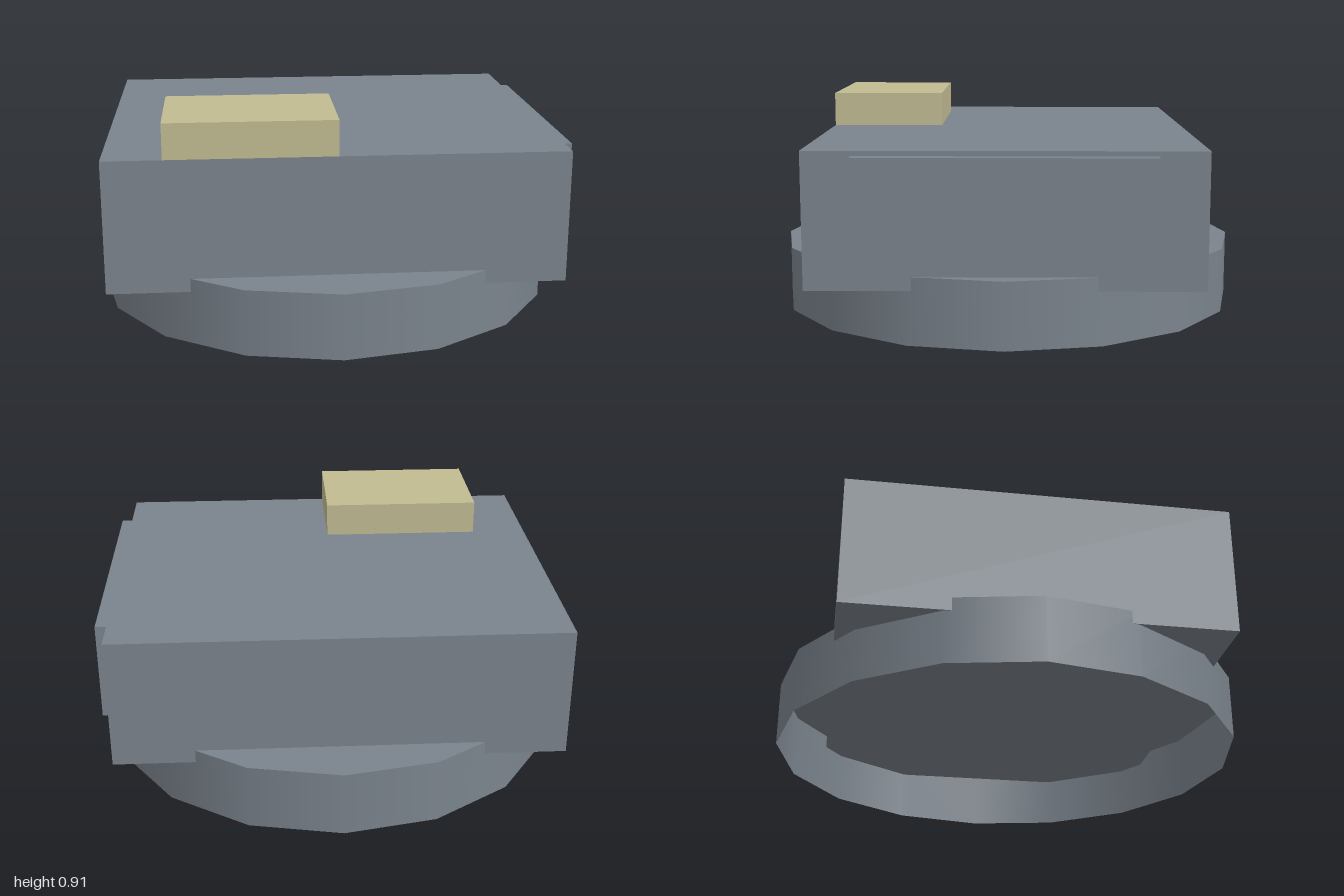
import * as THREE from 'three';

export function createModel() {
  const model = new THREE.Group();
  model.name = 'turret';

  const grey = new THREE.MeshStandardMaterial({ color: 0x7b848d, side: THREE.DoubleSide });
  grey.name = 'steel grey';
  const tan = new THREE.MeshStandardMaterial({ color: 0xc2bc92 });
  tan.name = 'pale tan';

  // Box given by its lower and upper corners
  function block(name, min, max, material) {
    const size = max.map((v, i) => v - min[i]);
    const mesh = new THREE.Mesh(new THREE.BoxGeometry(...size), material);
    mesh.position.set(...max.map((v, i) => (v + min[i]) / 2));
    mesh.name = name;
    model.add(mesh);
  }

  // Round base: 16-sided wall with a flat lid, open underneath
  const wall = new THREE.Mesh(new THREE.CylinderGeometry(1, 1, 0.275, 16, 1, true), grey);
  wall.position.y = 0.1375;
  wall.name = 'baseWall';
  const lid = new THREE.Mesh(new THREE.CircleGeometry(1, 16), grey);
  lid.rotation.x = -Math.PI / 2;
  lid.position.y = 0.275;
  lid.name = 'baseLid';
  model.add(wall, lid);

  // Main housing with its side panel and roof hatch
  block('housing', [-0.93, 0.22, -0.784], [0.928, 0.766, 0.782], grey);
  block('sidePanel', [0.928, 0.337, -0.587], [0.98, 0.746, 0.587], grey);
  block('roofHatch', [-0.69, 0.766, 0.297], [-0.002, 0.912, 0.782], tan);

  return model;
}
